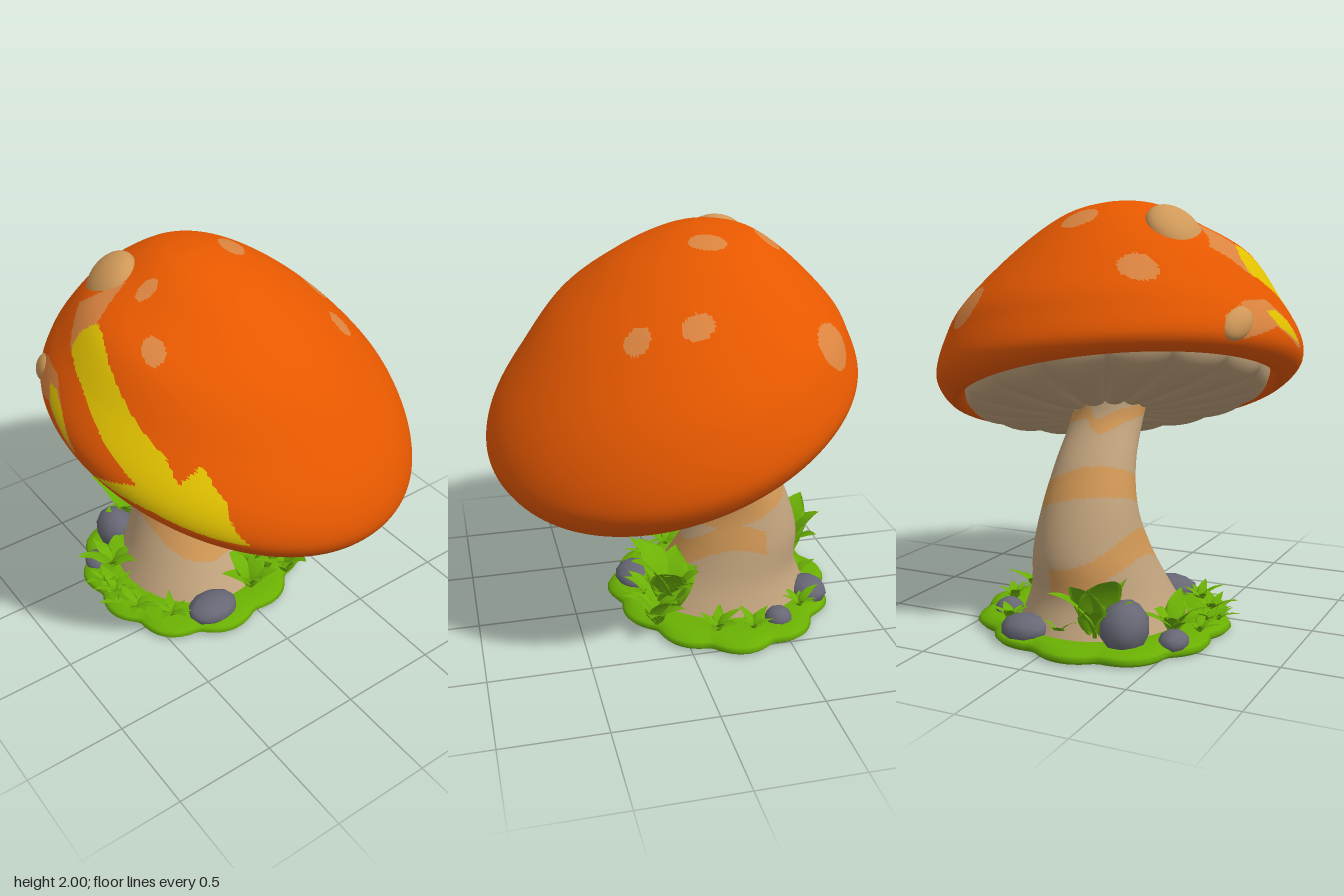
import * as THREE from 'three';

const paint = (name, color) => {
  const m = new THREE.MeshStandardMaterial({ color });
  m.name = name;
  return m;
};

// Loft of closed rings, from the first ring to the last; kind(centre) picks a material index per face
function loft(rings, sides, point, kind) {
  const pos = [], faces = [[], [], []], c = new THREE.Vector3();
  for (let i = 0; i <= rings; i++)
    for (let j = 0; j < sides; j++) pos.push(...point(i / rings, (j / sides) * Math.PI * 2));
  const add = (...f) => {
    c.set(0, 0, 0);
    for (const k of f) c.add(new THREE.Vector3(pos[k * 3], pos[k * 3 + 1], pos[k * 3 + 2]));
    faces[kind ? kind(c.divideScalar(3)) : 0].push(...f);
  };
  for (let i = 0; i < rings; i++)
    for (let j = 0; j < sides; j++) {
      const k = (j + 1) % sides, a = i * sides + j, b = i * sides + k;
      add(a, b, a + sides);
      add(b, b + sides, a + sides);
    }
  const g = new THREE.BufferGeometry();
  g.setAttribute('position', new THREE.Float32BufferAttribute(pos, 3));
  g.setIndex(faces.flat());
  let start = 0;
  faces.forEach((f, m) => { if (kind) g.addGroup(start, f.length, m); start += f.length; });
  g.computeVertexNormals();
  return g;
}

// Smooth interpolation through rows of numbers
function spline(rows, t) {
  const n = rows.length - 1, f = t * n, i = Math.min(Math.floor(f), n - 1), s = f - i;
  const at = k => rows[Math.max(0, Math.min(n, k))];
  const [p, q, r, w] = [at(i - 1), at(i), at(i + 1), at(i + 2)];
  return q.map((_, k) => q[k] + 0.5 * s * (r[k] - p[k] + s * (2 * p[k] - 5 * q[k] + 4 * r[k] - w[k]
    + s * (3 * (q[k] - r[k]) + w[k] - p[k]))));
}

const inside = (poly, x, y) => poly.reduce((hit, [ax, ay], i) => {
  const [bx, by] = poly[(i + 1) % poly.length];
  return (ay > y) !== (by > y) && x < ((bx - ax) * (y - ay)) / (by - ay) + ax ? !hit : hit;
}, false);

// Cap rings, apex to inner lip: x min, x max, z max, z min, height, slope in x, slope in z
const CAP = [
  [-0.14, -0.14, 0.13, 0.13, 1.998, -0.1, 0.03],
  [-0.28, 0.05, 0.27, -0.05, 1.968, -0.15, 0.04],
  [-0.42, 0.3, 0.41, -0.25, 1.885, -0.2, 0.06],
  [-0.6, 0.55, 0.64, -0.52, 1.715, -0.2, 0.105],
  [-0.79, 0.74, 0.79, -0.75, 1.49, -0.19, 0.11],
  [-0.86, 0.86, 0.87, -0.85, 1.325, -0.215, 0.128],
  [-0.9, 0.9, 0.89, -0.89, 1.19, -0.233, 0.17],
  [-0.88, 0.86, 0.86, -0.85, 1.105, -0.26, 0.2],
  [-0.83, 0.77, 0.79, -0.78, 1.06, -0.3, 0.22],
  [-0.79, 0.7, 0.74, -0.72, 1.12, -0.3, 0.22],
];
// Painted spots seen from above: x, z, radii, turn
const SPOTS = [
  [-0.65, -0.45, 0.12, 0.06, -0.9], [-0.01, -0.5, 0.075, 0.05, 0], [0.25, -0.45, 0.06, 0.052, 0.3],
  [-0.15, -0.11, 0.09, 0.06, 0.4], [-0.48, 0.03, 0.06, 0.085, 0], [-0.65, 0.39, 0.045, 0.09, -0.4],
  [-0.07, 0.4, 0.04, 0.058, -0.2], [0.18, 0.53, 0.065, 0.048, 0.1],
];
// Painted shapes seen from the front
const ARROW = [[-0.12, 1.8], [-0.05, 1.78], [0.09, 1.69], [0.3, 1.53], [0.45, 1.43], [0.535, 1.335], [0.56, 1.407],
  [0.685, 1.265], [0.775, 1.063], [0.48, 1.2], [0.19, 1.265], [0.405, 1.31], [0.22, 1.43], [0.01, 1.57],
  [-0.19, 1.67], [-0.19, 1.74]];
const STREAK = [[-0.24, 1.51], [-0.16, 1.51], [-0.07, 1.465], [0.045, 1.34], [-0.18, 1.44]];
const TRAILS = [
  [[-0.34, 1.79], [-0.19, 1.91], [-0.12, 1.8], [-0.19, 1.66]],
  [[-0.5, 1.44], [-0.5, 1.5], [-0.36, 1.56], [-0.2, 1.56], [-0.07, 1.465], [0.08, 1.33], [0.04, 1.325], [-0.2, 1.44], [-0.42, 1.4]],
];

function capKind({ x, y, z }) {
  if (z > 0 && (inside(ARROW, x, y) || inside(STREAK, x, y))) return 1;
  if (z > 0 && TRAILS.some(t => inside(t, x, y))) return 2;
  const spot = ([sx, sz, a, b, turn]) => {
    const dx = x - sx, dz = z - sz, c = Math.cos(turn), s = Math.sin(turn);
    return Math.hypot((dx * c + dz * s) / a, (dz * c - dx * s) / b) < 1;
  };
  return y > 1.35 && SPOTS.some(spot) ? 2 : 0;
}

// Stem rings, top to bottom: height, centre x, centre z, radius x, radius z
const STEM = [
  [1.16, -0.16, 0.04, 0.22, 0.19], [1, -0.215, 0.04, 0.18, 0.17], [0.8, -0.345, 0.04, 0.175, 0.19],
  [0.6, -0.41, 0.04, 0.21, 0.225], [0.4, -0.39, 0.04, 0.29, 0.27], [0.2, -0.335, 0.06, 0.35, 0.325],
  [0.03, -0.31, 0.07, 0.45, 0.4],
];
function stemKind({ x, y, z }) {
  const a = Math.atan2(z - 0.04, x + 0.36);
  const low = 0.37 - 0.08 * Math.cos(2 * a - 0.4), mid = 0.64 + 0.1 * Math.cos(a - 2.6), high = 1.0 + 0.03 * Math.sin(2 * a);
  const lowBand = (a > -1.9 || a < -2.9) && Math.abs(y - low) < 0.062;
  return lowBand || Math.abs(y - mid) < 0.065 || Math.abs(y - high) < 0.03 ? 1 : 0;
}

export function createModel() {
  const orange = paint('cap orange', 0xe65800), yellow = paint('arrow yellow', 0xe2c200);
  const peach = paint('spot peach', 0xdb8440), tan = paint('bump tan', 0xcf9858);
  const cream = paint('stem cream', 0xc0a27c), band = paint('stem band', 0xcf9655);
  const grass = paint('grass green', 0x6ab003), leafGreen = paint('leaf green', 0x6bb006);
  const stone = paint('stone grey', 0x686876);
  const model = new THREE.Group();
  const add = (name, geometry, material, parent = model) => {
    const m = new THREE.Mesh(geometry, material);
    m.name = name;
    parent.add(m);
    return m;
  };

  // Tilted cap with painted spots and arrows
  add('cap', loft(150, 280, (t, a) => {
    const [x0, x1, z1, z0, y, b, c] = spline(CAP, t);
    const dx = Math.cos(a) * (x1 - x0) / 2, dz = Math.sin(a) * (z1 - z0) / 2;
    return [(x0 + x1) / 2 + dx, y + b * dx + c * dz, (z0 + z1) / 2 + dz];
  }, capKind), [orange, yellow, peach]);

  // Raised bumps on the cap: position, normal, radii
  for (const [p, n, r] of [
    [[-0.335, 1.85, 0.425], [-0.22, 0.68, 0.7], [0.15, 0.085, 0.15]],
    [[-0.425, 1.465, 0.75], [-0.42, 0.3, 0.87], [0.1, 0.045, 0.068]],
  ]) {
    const bump = add('capBump', new THREE.SphereGeometry(1, 28, 18), tan);
    bump.position.set(...p);
    bump.quaternion.setFromUnitVectors(new THREE.Vector3(0, 1, 0), new THREE.Vector3(...n).normalize());
    bump.scale.set(...r);
  }

  // Gills: broad puffy lobes running from the lip to the stem
  const GILL = [[1, 0.06], [0.97, 0.0], [0.85, -0.035], [0.6, -0.07], [0.35, -0.1], [0.12, -0.1]];
  add('gills', loft(20, 192, (t, a) => {
    const [s, sag] = spline(GILL, t);
    const x = -0.045 * s - 0.2 * (1 - s) + 0.755 * s * Math.cos(a), z = 0.01 + 0.74 * s * Math.sin(a);
    const puff = 0.04 * Math.sqrt(Math.abs(Math.sin(8 * a))) * Math.sin(Math.PI * t);
    return [x, 1.07 - 0.3 * (x + 0.04) + 0.22 * (z - 0.01) + sag - puff, z];
  }), cream);

  // Curved stem with wavy bands
  add('stem', loft(90, 96, (t, a) => {
    const [y, x, z, rx, rz] = spline(STEM, t);
    return [x + rx * Math.cos(a), y, z + rz * Math.sin(a)];
  }, stemKind), [cream, band]);

  // Scalloped grass mound
  const MOUND = [[0, 0.05], [0.75, 0.06], [0.9, 0.06], [0.98, 0.04], [1, 0.018], [0.97, 0], [0, 0]];
  add('grassMound', loft(6, 132, (t, a) => {
    const [s, y] = MOUND[Math.round(t * 6)];
    const r = s * (0.545 + 0.045 * Math.abs(Math.sin(5.5 * a + 0.4)) + 0.02 * Math.sin(3 * a));
    return [-0.29 + r * Math.cos(a), y, 0.065 + 1.05 * r * Math.sin(a)];
  }), grass);

  // Smooth boulders: position and radii
  for (const [x, y, z, rx, ry, rz] of [
    [-0.65, 0.1, 0.33, 0.13, 0.125, 0.11], [-0.54, 0.055, 0.52, 0.08, 0.052, 0.07],
    [0.14, 0.07, 0.22, 0.11, 0.065, 0.14], [-0.71, 0.07, -0.14, 0.1, 0.068, 0.12], [-0.48, 0.062, -0.36, 0.07, 0.058, 0.07],
  ]) {
    const rock = add('rock', new THREE.IcosahedronGeometry(1, 1), stone);
    rock.position.set(x, Math.max(y, ry + 0.002), z);
    rock.scale.set(rx, ry, rz);
  }

  // Plump arching leaf blade, tip to root
  const leaf = loft(9, 8, (t, a) => {
    const u = 1 - t, w = 0.15 * Math.sin(Math.PI * Math.pow(u, 0.8)) + 0.02 * t;
    return [0.62 * u ** 1.5 + Math.cos(a) * w * 0.35, u - 0.45 * u * u + Math.cos(a) * w * 0.2, Math.sin(a) * w];
  });

  // Leaf tufts: x, z, leaf count, length, spread
  [
    [-0.68, 0.2, 9, 0.62, 0.6], [-0.45, 0.48, 8, 0.3, 1.1], [0.04, -0.17, 9, 0.64, 0.55], [0.13, -0.27, 7, 0.4, 0.8],
    [0.12, -0.04, 7, 0.36, 0.8], [-0.27, 0.57, 8, 0.17, 1.4], [-0.1, 0.54, 8, 0.17, 1.4], [0.05, 0.42, 7, 0.15, 1.4],
    [-0.38, 0.58, 7, 0.14, 1.4], [-0.19, 0.6, 7, 0.13, 1.4], [-0.15, -0.4, 7, 0.2, 1.2], [-0.62, -0.27, 7, 0.17, 1.2],
    [-0.33, -0.42, 7, 0.16, 1.2], [-0.7, 0.04, 6, 0.2, 1],
  ].forEach(([x, z, n, l, spread], k) => {
    const tuft = new THREE.Group();
    tuft.name = 'leafTuft';
    tuft.position.set(x, 0.05, z);
    for (let i = 0; i < n; i++) {
      const blade = add('leaf', leaf, leafGreen, tuft), size = l * (0.85 + 0.15 * Math.sin(i * 2.3 + k));
      blade.rotation.y = (i / n) * Math.PI * 2 + 0.25 * Math.sin(i * 5 + k);
      blade.scale.set(size * spread, size * (i % 2 ? 0.75 : 1), size);
    }
    model.add(tuft);
  });
  return model;
}
